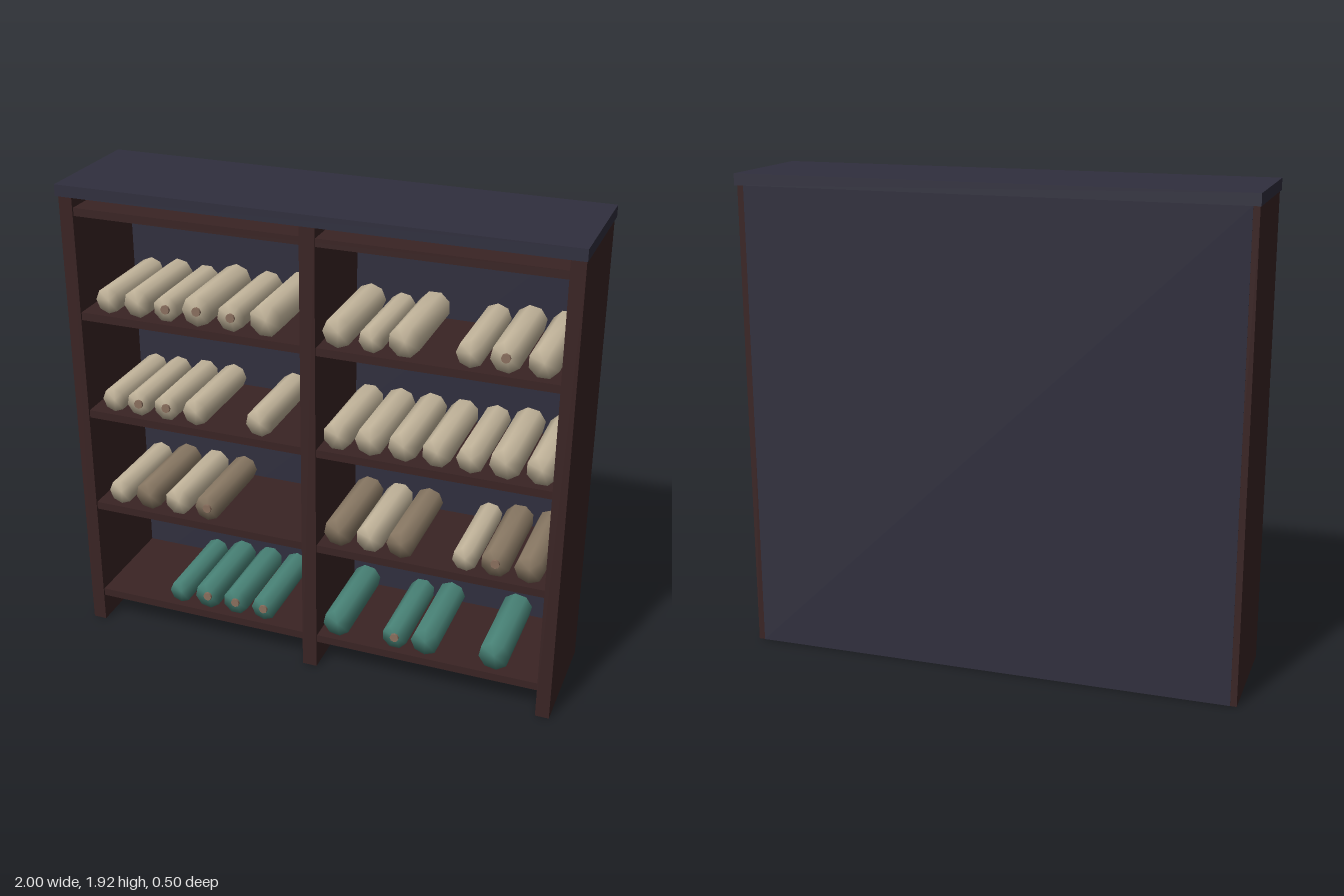
import * as THREE from 'three';
import { mergeVertices } from 'three/addons/utils/BufferGeometryUtils.js';

const flat = (name, color) => {
  const m = new THREE.MeshStandardMaterial({ color });
  m.name = name;
  return m;
};

export function createModel() {
  const group = new THREE.Group();
  const wood = flat('dark wood', 0x3a2424);
  const slate = flat('slate blue', 0x302f3e);
  const rodMat = flat('rod brown', 0x8a6f5e);
  const paper = {
    b: flat('cream paper', 0xc6b89e),
    t: flat('tan paper', 0x8c7b66),
    g: flat('teal paper', 0x4a8579),
  };

  // Box given by its min and max corners
  const box = (name, mat, [x0, y0, z0], [x1, y1, z1]) => {
    const mesh = new THREE.Mesh(new THREE.BoxGeometry(x1 - x0, y1 - y0, z1 - z0), mat);
    mesh.position.set((x0 + x1) / 2, (y0 + y1) / 2, (z0 + z1) / 2);
    mesh.name = name;
    group.add(mesh);
  };

  // Carcass
  box('topSlab', slate, [-1, 1.875, -0.25], [1, 1.92, 0.25]);
  box('backPanel', slate, [-0.97, 0, -0.236], [0.97, 1.875, -0.215]);
  box('rightSide', wood, [-0.995, 0, -0.235], [-0.94, 1.875, 0.235]);
  box('leftSide', wood, [0.94, 0, -0.235], [0.995, 1.875, 0.235]);
  box('divider', wood, [-0.03, 0, -0.23], [0.03, 1.875, 0.235]);
  const shelfTops = [0.147, 0.57, 0.99, 1.41, 1.83];
  shelfTops.forEach((y) => box('shelf', wood, [-0.94, y - 0.032, -0.23], [0.94, y, 0.228]));

  // Scrolls per shelf: [x, radius, paper, has rod]
  const rows = [
    [[-0.59, 0.048, 'g'], [-0.465, 0.057, 'g', 1], [-0.34, 0.055, 'g', 1], [-0.215, 0.053, 'g', 1],
      [0.105, 0.058, 'g'], [0.35, 0.052, 'g', 1], [0.475, 0.058, 'g'], [0.755, 0.062, 'g']],
    [[-0.84, 0.052, 'b'], [-0.71, 0.06, 't'], [-0.58, 0.058, 'b'], [-0.45, 0.055, 't', 1],
      [0.11, 0.06, 't'], [0.24, 0.058, 'b'], [0.365, 0.058, 't'], [0.62, 0.05, 'b'],
      [0.74, 0.058, 't', 1], [0.87, 0.058, 't']],
    [[-0.84, 0.05, 'b'], [-0.73, 0.052, 'b', 1], [-0.61, 0.054, 'b', 1], [-0.485, 0.054, 'b'],
      [-0.215, 0.056, 'b'], [0.105, 0.058, 'b'], [0.235, 0.06, 'b'], [0.365, 0.06, 'b'],
      [0.495, 0.058, 'b'], [0.625, 0.056, 'b'], [0.755, 0.062, 'b'], [0.89, 0.06, 'b']],
    [[-0.835, 0.052, 'b'], [-0.71, 0.057, 'b'], [-0.59, 0.052, 'b', 1], [-0.46, 0.062, 'b', 1],
      [-0.32, 0.057, 'b', 1], [-0.18, 0.065, 'b'], [0.105, 0.06, 'b'], [0.235, 0.05, 'b'],
      [0.36, 0.062, 'b'], [0.605, 0.054, 'b'], [0.735, 0.06, 'b', 1], [0.87, 0.059, 'b']],
  ];

  // Eight-sided roll lying along z, with normals shared between side and ends
  const roll = new THREE.CylinderGeometry(1, 1, 0.37, 8).rotateX(Math.PI / 2);
  roll.deleteAttribute('uv');
  roll.deleteAttribute('normal');
  const rollGeo = mergeVertices(roll);
  rollGeo.computeVertexNormals();
  const rodGeo = new THREE.CylinderGeometry(0.018, 0.018, 0.39, 8).rotateX(Math.PI / 2);

  rows.forEach((row, i) => row.forEach(([x, r, kind, rod], j) => {
    const scroll = new THREE.Group();
    scroll.name = 'scroll';
    const body = new THREE.Mesh(rollGeo, paper[kind]);
    body.name = 'scrollBody';
    body.scale.set(r, r, 1);
    body.rotation.z = (j % 3) * 0.2;
    scroll.add(body);
    if (rod) {
      const core = new THREE.Mesh(rodGeo, rodMat);
      core.name = 'scrollRod';
      scroll.add(core);
    }
    scroll.position.set(x, shelfTops[i] + r, 0.015);
    group.add(scroll);
  }));

  return group;
}
